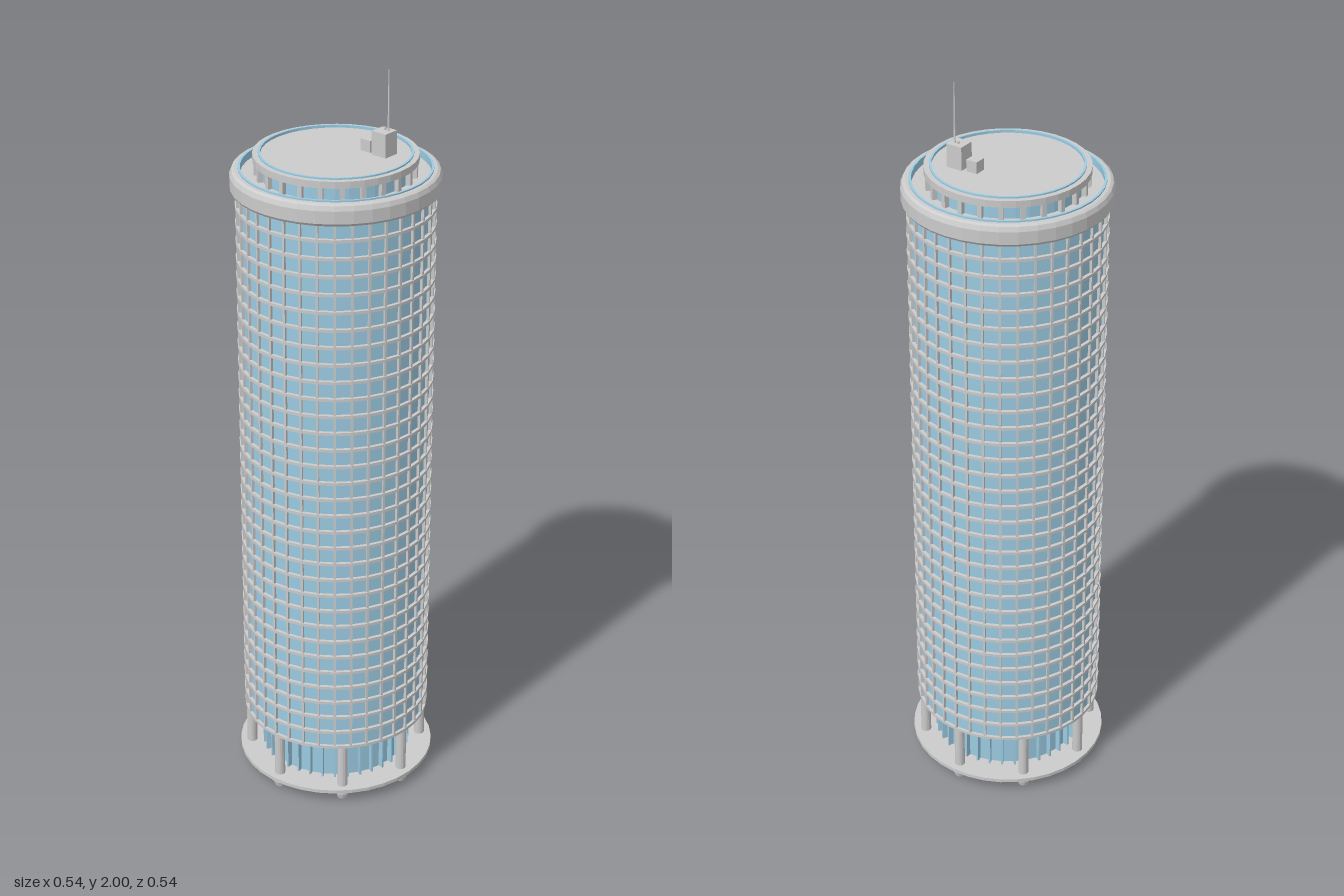
import * as THREE from 'three';
import { mergeGeometries } from 'three/addons/utils/BufferGeometryUtils.js';

const SIDES = 36;
const grey = new THREE.MeshStandardMaterial({ color: 0xcccccc, flatShading: true });
const glass = new THREE.MeshStandardMaterial({ color: 0x9ccbe2, flatShading: true });

export function createModel() {
  const model = new THREE.Group();
  model.name = 'roundTower';

  const add = (name, geometry, material = grey, parent = model) => {
    const mesh = new THREE.Mesh(geometry, material);
    mesh.name = name;
    parent.add(mesh);
    return mesh;
  };
  // Solid drum between two heights
  const drum = (r, y0, y1, rBottom = r, sides = SIDES) =>
    new THREE.CylinderGeometry(r, rBottom, y1 - y0, sides).translate(0, (y0 + y1) / 2, 0);
  // Closed ring with a rectangular section
  const ring = (r0, r1, y0, y1) => new THREE.LatheGeometry(
    [[r0, y0], [r1, y0], [r1, y1], [r0, y1], [r0, y0]].map(p => new THREE.Vector2(...p)), SIDES);
  // Copies of a geometry turned around the tower axis
  const around = (count, make, offset = 0) => mergeGeometries(
    Array.from({ length: count }, (_, i) => make().rotateY(offset + (i / count) * Math.PI * 2)));
  const box = (w, y0, y1, d, x, z) =>
    new THREE.BoxGeometry(w, y1 - y0, d).translate(x, (y0 + y1) / 2, z);

  // Base: plate, feet, columns and recessed glazed lobby
  const base = new THREE.Group();
  base.name = 'base';
  model.add(base);
  add('basePlate', drum(0.268, 0.03, 0.04), grey, base);
  add('columns', around(8, () => drum(0.014, 0.04, 0.175, 0.014, 16).translate(0, 0, 0.236)), grey, base);
  add('feet', around(8, () => mergeGeometries([
    drum(0.021, 0.016, 0.03, 0.021, 12), drum(0.019, 0, 0.016, 0.014, 12),
  ]).translate(0, 0, 0.236)), grey, base);
  add('lobbyGlass', drum(0.19, 0.04, 0.172), glass, base);
  add('lobbyFins', around(SIDES, () => box(0.005, 0.04, 0.172, 0.018, 0, 0.196)), glass, base);

  // Shaft: glass drum behind a grid of floor bands and mullions
  const bottom = 0.172, top = 1.695, floors = 32;
  const shaft = new THREE.Group();
  shaft.name = 'shaft';
  model.add(shaft);
  add('shaftGlass', drum(0.246, bottom, top), glass, shaft);
  add('soffit', drum(0.254, bottom - 0.004, bottom + 0.004), grey, shaft);
  const bands = [];
  for (let i = 1; i < floors; i++) {
    const y = bottom + (i / floors) * (top - bottom);
    bands.push(ring(0.24, 0.255, y - 0.004, y + 0.004));
  }
  add('floorBands', mergeGeometries(bands), grey, shaft);
  add('mullions', around(SIDES, () => box(0.006, bottom, top, 0.014, 0, 0.246)), grey, shaft);

  // Crown: rounded collar with a glass-lined gutter
  const crown = new THREE.Group();
  crown.name = 'crown';
  model.add(crown);
  const collar = [[0.24, 1.69], [0.262, 1.69], [0.267, 1.697], [0.267, 1.73],
    [0.262, 1.742], [0.255, 1.746], [0.246, 1.746], [0.246, 1.715], [0.24, 1.69]];
  add('collar', new THREE.LatheGeometry(collar.map(p => new THREE.Vector2(...p)), SIDES), grey, crown);
  add('parapetGlass', ring(0.24, 0.246, 1.72, 1.75), glass, crown);
  add('terrace', drum(0.243, 1.69, 1.73), grey, crown);

  // Upper tier: set-back wall, short posts and overhanging rim
  add('tierGlass', drum(0.194, 1.73, 1.766), glass, crown);
  add('tierPosts', around(24, () => box(0.012, 1.73, 1.768, 0.014, 0, 0.199)), grey, crown);
  add('tierRim', ring(0.194, 0.209, 1.766, 1.784), grey, crown);
  add('rimGlass', ring(0.189, 0.195, 1.766, 1.788), glass, crown);
  add('roof', drum(0.191, 1.764, 1.781), grey, crown);

  // Roof equipment and mast
  const plant = new THREE.Group();
  plant.name = 'roofEquipment';
  model.add(plant);
  add('largeHousing', box(0.044, 1.78, 1.843, 0.045, 0.072, 0.096), grey, plant);
  add('smallHousing', box(0.031, 1.78, 1.812, 0.031, 0.072, 0.048), grey, plant);
  add('mast', drum(0.0015, 1.84, 2, 0.0025, 8).translate(0.077, 0, 0.105), grey, plant);
  add('mastFoot', drum(0.003, 1.84, 1.85, 0.003, 8).translate(0.077, 0, 0.094), grey, plant);

  return model;
}
